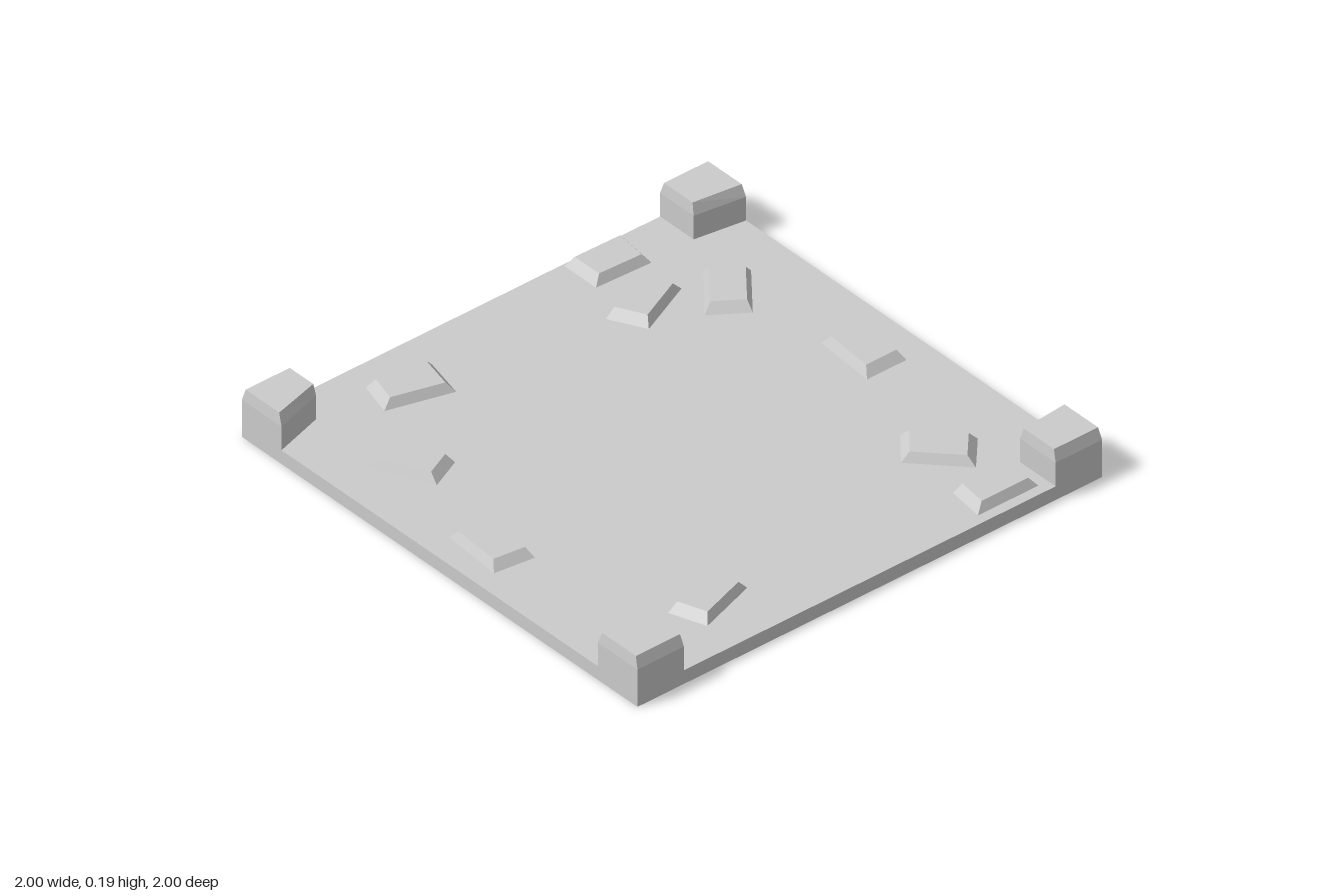
import * as THREE from 'three';

const material = new THREE.MeshStandardMaterial({ color: 0xcccccc, flatShading: true, side: THREE.DoubleSide });

// Skin a stack of four-cornered rings (clockwise from above), closed on top and open below.
function stack(name, levels) {
  const pos = [];
  const rings = levels.map(([y, ring]) => ring.map(([x, z]) => [x, y, z]));
  const quad = (a, b, c, d) => pos.push(...a, ...b, ...c, ...a, ...c, ...d);
  for (let l = 0; l + 1 < rings.length; l++) {
    const lo = rings[l], hi = rings[l + 1];
    for (let i = 0; i < 4; i++) {
      const j = (i + 1) % 4;
      quad(lo[i], hi[i], hi[j], lo[j]);
    }
  }
  const top = rings[rings.length - 1];
  quad(top[0], top[3], top[2], top[1]);
  const geometry = new THREE.BufferGeometry();
  geometry.setAttribute('position', new THREE.Float32BufferAttribute(pos, 3));
  geometry.computeVertexNormals();
  const mesh = new THREE.Mesh(geometry, material);
  mesh.name = name;
  return mesh;
}

// Pull a ring toward its own centre.
function shrink(ring, sx, sz = sx) {
  const cx = ring.reduce((s, p) => s + p[0], 0) / 4;
  const cz = ring.reduce((s, p) => s + p[1], 0) / 4;
  return ring.map(([x, z]) => [cx + (x - cx) * sx, cz + (z - cz) * sz]);
}

export function createModel() {
  const group = new THREE.Group();
  group.name = 'stoneFloorTile';
  const floorY = 0.055;

  // Hollow floor slab
  const square = [[-1, -1], [1, -1], [1, 1], [-1, 1]];
  group.add(stack('floorSlab', [[0, square], [floorY, square]]));

  // Corner posts with a slanted inner side and a bevelled cap
  const posts = {
    backRightPost: [[-1, -1], [-0.8, -1], [-0.8, -0.86], [-1, -0.8]],
    backLeftPost: [[0.8, -1], [1, -1], [1, -0.8], [0.8, -0.83]],
    frontLeftPost: [[0.8, 0.82], [1, 0.8], [1, 1], [0.8, 1]],
    frontRightPost: [[-1, 0.8], [-0.8, 0.825], [-0.8, 1], [-1, 1]],
  };
  for (const [name, ring] of Object.entries(posts)) {
    group.add(stack(name, [[0, ring], [0.15, ring], [0.195, shrink(ring, 0.95, 0.85)]]));
  }

  // Raised paving stones scattered around the edge
  const stones = [
    [[-0.56, -0.89], [-0.31, -0.85], [-0.35, -0.68], [-0.6, -0.75]],
    [[-0.7, -0.61], [-0.61, -0.38], [-0.74, -0.32], [-0.85, -0.54]],
    [[-0.9, -0.07], [-0.76, -0.04], [-0.76, 0.2], [-0.92, 0.18]],
    [[-0.63, 0.72], [-0.38, 0.65], [-0.34, 0.78], [-0.58, 0.86]],
    [[0.38, -0.99], [0.63, -0.985], [0.61, -0.82], [0.38, -0.83]],
    [[0.29, -0.675], [0.52, -0.78], [0.59, -0.645], [0.36, -0.54]],
    [[0.71, -0.675], [0.83, -0.575], [0.68, -0.39], [0.55, -0.48]],
    [[0.74, -0.115], [0.89, -0.1], [0.89, 0.14], [0.72, 0.14]],
    [[0.6, 0.45], [0.78, 0.63], [0.67, 0.75], [0.5, 0.57]],
    [[0.52, 0.81], [0.76, 0.8], [0.76, 0.96], [0.5, 0.96]],
  ];
  stones.forEach((ring, i) => {
    group.add(stack(`pavingStone${i + 1}`, [[floorY, ring], [0.09, shrink(ring, 0.77)]]));
  });

  return group;
}
